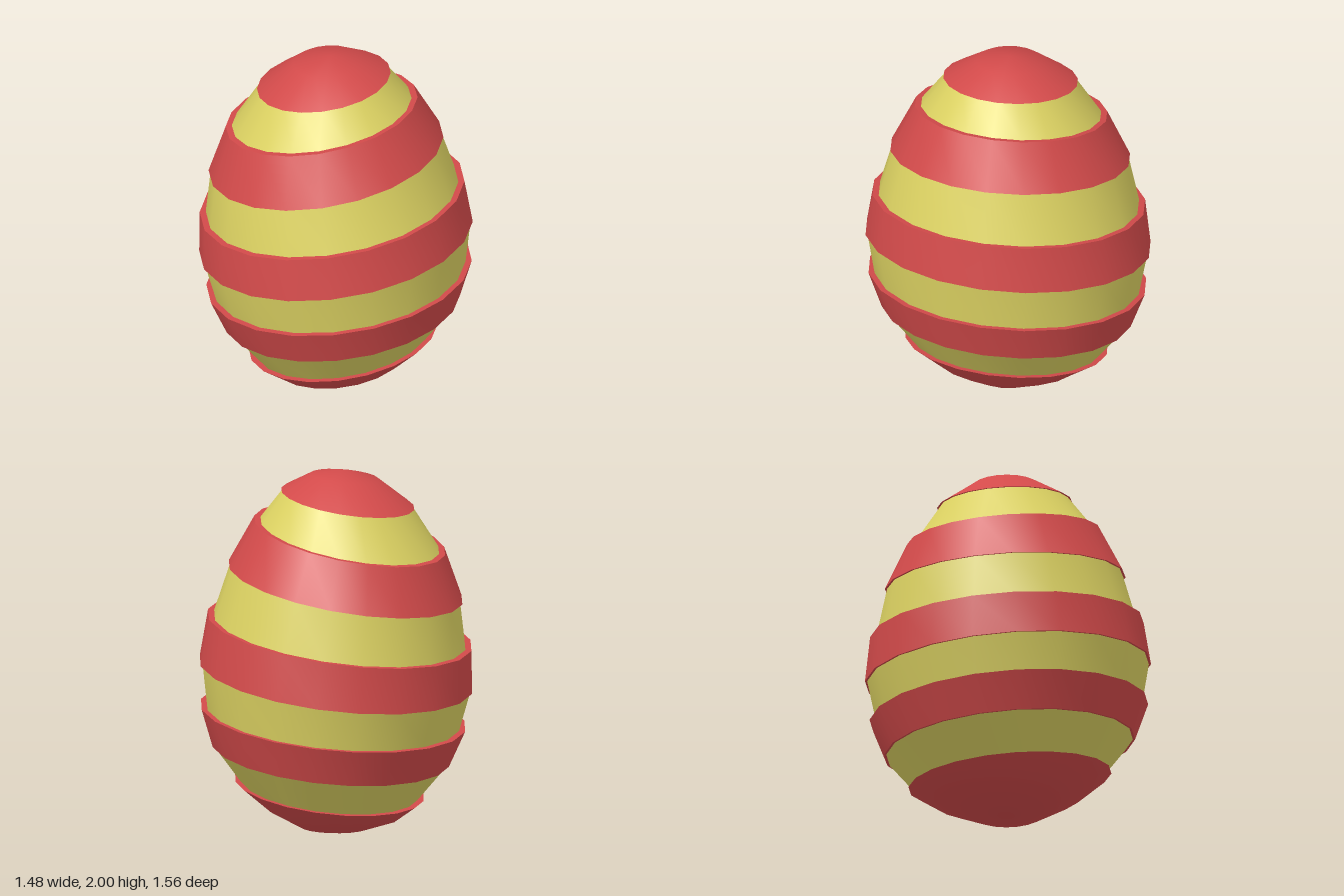
import * as THREE from 'three';
import { toCreasedNormals } from 'three/addons/utils/BufferGeometryUtils.js';

const SIDES = 20;
const RED = new THREE.MeshStandardMaterial({ color: 0xd24a4a });
const YELLOW = new THREE.MeshStandardMaterial({ color: 0xdcd262 });

// A tilted ring: left end (x, y), right end (x, y), half depth in z, rise from back to front
const ring = (xl, yl, xr, yr, rz, rise = 0) => ({ xl, yl, xr, yr, rz, rise });

// The same ring drawn in towards its centre
function inset(r, d) {
  const slope = (r.yr - r.yl) / (r.xr - r.xl);
  return ring(r.xl + d, r.yl + d * slope, r.xr - d, r.yr - d * slope, r.rz - d, r.rise);
}

// A skin through rings listed from top to bottom
function loft(rings, creased = true) {
  const pos = [], index = [];
  for (const r of rings) {
    for (let j = 0; j < SIDES; j++) {
      const a = (j / SIDES) * Math.PI * 2, c = Math.cos(a), s = Math.sin(a);
      pos.push(
        (r.xl + r.xr) / 2 + (c * (r.xr - r.xl)) / 2,
        (r.yl + r.yr) / 2 + (c * (r.yr - r.yl)) / 2 + (s * r.rise) / 2,
        s * r.rz
      );
    }
  }
  for (let i = 0; i < rings.length - 1; i++) {
    for (let j = 0; j < SIDES; j++) {
      const k = (j + 1) % SIDES;
      const a = i * SIDES + j, b = i * SIDES + k, c = a + SIDES, d = b + SIDES;
      if (rings[i].rz > 0) index.push(a, b, c);
      if (rings[i + 1].rz > 0) index.push(b, d, c);
    }
  }
  const g = new THREE.BufferGeometry();
  g.setAttribute('position', new THREE.Float32BufferAttribute(pos, 3));
  g.setIndex(index);
  if (creased) return toCreasedNormals(g, 0.9);
  g.computeVertexNormals();
  return g;
}

export function createModel() {
  const egg = new THREE.Group();
  egg.name = 'stripedEgg';

  const add = (name, rings, material, creased) => {
    const mesh = new THREE.Mesh(loft(rings, creased), material);
    mesh.name = name;
    egg.add(mesh);
  };

  // Outer edges of the raised red stripes, top and bottom of each
  const topCapEdge = ring(-0.435, 1.78, 0.29, 1.9, 0.367, 0.01);
  const stripes = [
    [ring(-0.605, 1.53, 0.435, 1.75, 0.525, 0.03), ring(-0.695, 1.26, 0.575, 1.5, 0.655, 0.02)],
    [ring(-0.74, 1.0, 0.69, 1.23, 0.745, 0.04), ring(-0.74, 0.76, 0.735, 0.98, 0.78, 0.06)],
    [ring(-0.7, 0.55, 0.73, 0.735, 0.76, 0.06), ring(-0.61, 0.355, 0.67, 0.525, 0.685, 0.06)],
  ];
  const bottomCapEdge = ring(-0.47, 0.165, 0.545, 0.325, 0.555, 0.045);

  // Rounded top cap with a small lip underneath
  add('topCap', [
    ring(-0.04, 2, -0.04, 2, 0),
    ring(-0.24, 1.945, 0.13, 1.98, 0.18),
    topCapEdge,
    inset(topCapEdge, 0.015),
  ], RED);

  // Raised stripes with ledges above and below
  stripes.forEach(([top, bottom], i) => {
    add('raisedStripe' + (i + 1), [inset(top, 0.035), top, bottom, inset(bottom, 0.015)], RED);
  });

  // Bottom cap with a ledge on its upper edge
  add('bottomCap', [
    inset(bottomCapEdge, 0.035),
    bottomCapEdge,
    ring(-0.35, 0.08, 0.39, 0.17, 0.4, 0.02),
    ring(-0.18, 0.025, 0.19, 0.035, 0.2),
    ring(0, 0, 0, 0, 0),
  ], RED);

  // Recessed bands run from the bottom of one stripe to below the top of the next
  const uppers = [topCapEdge, ...stripes.map((s) => s[1])];
  const lowers = [...stripes.map((s) => s[0]), bottomCapEdge];
  uppers.forEach((upper, i) => {
    add('recessedBand' + (i + 1), [inset(upper, 0.012), inset(lowers[i], 0.033)], YELLOW, false);
  });

  return egg;
}
